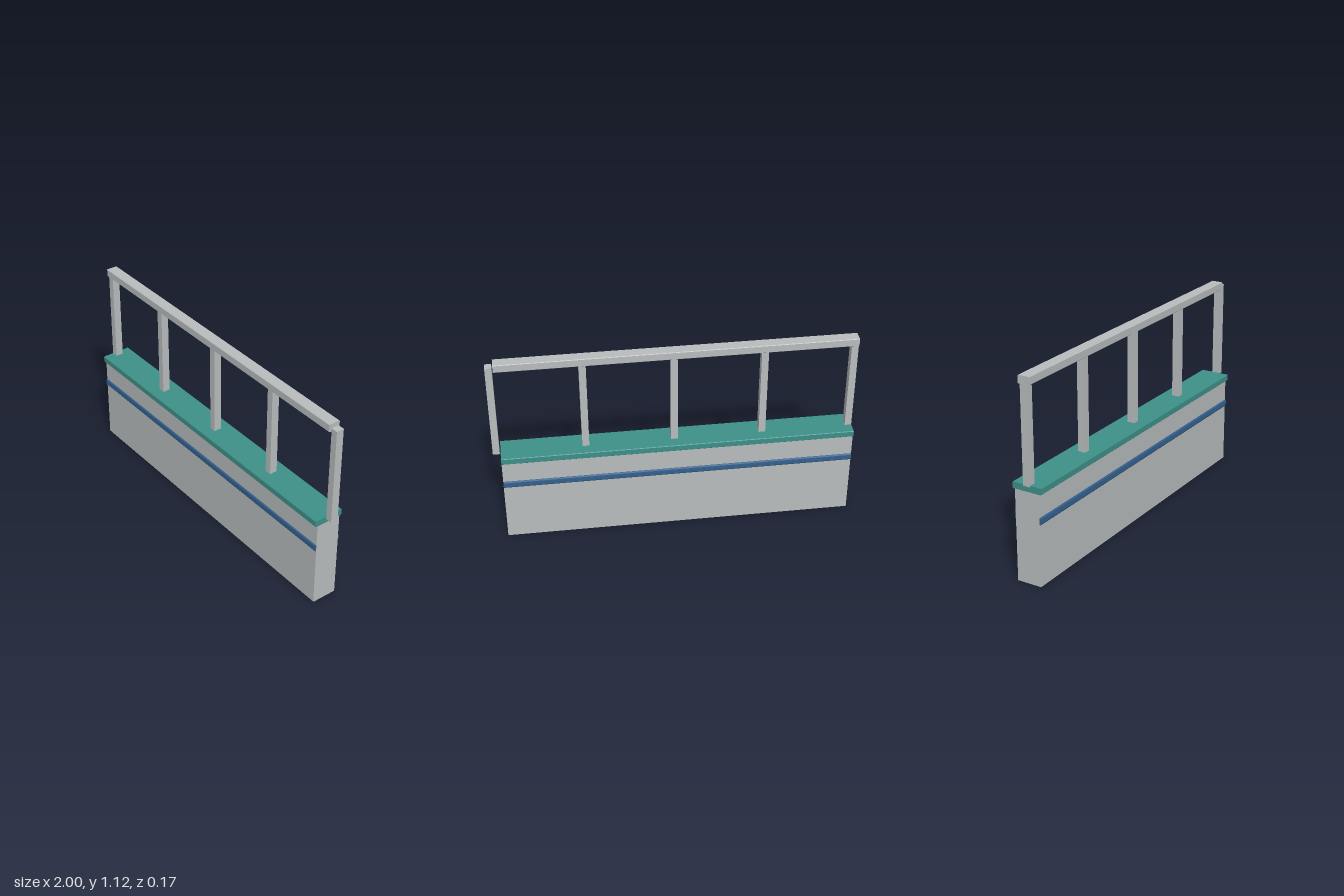
import * as THREE from 'three';

const concrete = new THREE.MeshStandardMaterial({ name: 'light grey', color: 0xb8bcbc });
const teal = new THREE.MeshStandardMaterial({ name: 'teal', color: 0x3d9088 });
const blue = new THREE.MeshStandardMaterial({ name: 'blue', color: 0x34618f });

const X0 = -1, X1 = 0.957; // ends of the wall; the last post stands just beyond

// Bar running along x with chamfered long edges
function bar(name, material, x0, x1, y0, y1, halfDepth, chamferZ, chamferY = chamferZ) {
  const d = halfDepth, a = chamferZ, b = chamferY;
  const shape = new THREE.Shape([
    [-d + a, y0], [d - a, y0], [d, y0 + b], [d, y1 - b],
    [d - a, y1], [-d + a, y1], [-d, y1 - b], [-d, y0 + b],
  ].map(([z, y]) => new THREE.Vector2(z, y)));
  const geometry = new THREE.ExtrudeGeometry(shape, { depth: x1 - x0, bevelEnabled: false });
  geometry.rotateY(Math.PI / 2);
  geometry.translate(x0, 0, 0);
  const mesh = new THREE.Mesh(geometry, material);
  mesh.name = name;
  return mesh;
}

export function createModel() {
  const model = new THREE.Group();
  model.name = 'parapetWithRailing';

  // Wall, coping and the stripe band that passes through the wall
  model.add(bar('wall', concrete, X0, X1, 0, 0.516, 0.073, 0.002));
  model.add(bar('coping', teal, X0, X1, 0.515, 0.552, 0.087, 0.003));
  model.add(bar('stripe', blue, X0 + 0.0005, X1 - 0.0005, 0.348, 0.388, 0.08, 0.004, 0.007));

  // Handrail
  model.add(bar('handrail', concrete, X0, X1, 1.08, 1.125, 0.033, 0.003));

  // Evenly spaced posts, sunk slightly into coping and handrail
  const posts = new THREE.Group();
  posts.name = 'posts';
  const postGeometry = new THREE.BoxGeometry(0.038, 0.561, 0.044);
  for (let i = 0; i < 5; i++) {
    const post = new THREE.Mesh(postGeometry, concrete);
    post.name = 'post' + (i + 1);
    post.position.set(-0.981 + i * 0.4905, 0.8225, 0);
    posts.add(post);
  }
  model.add(posts);
  return model;
}
